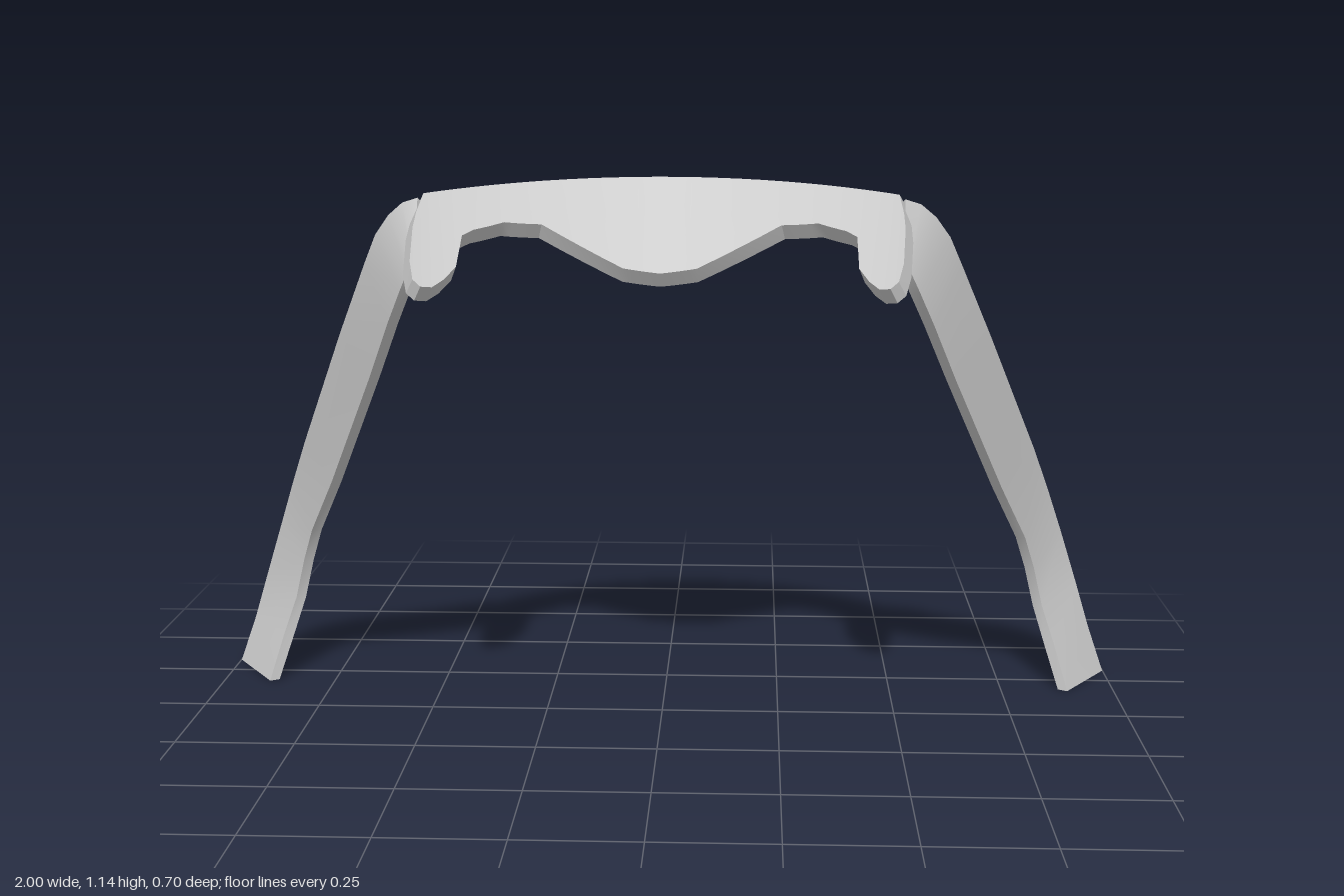
import * as THREE from 'three';
import { toCreasedNormals } from 'three/addons/utils/BufferGeometryUtils.js';

const material = new THREE.MeshStandardMaterial({ color: 0xcccccc });
const V = (x, y, z) => new THREE.Vector3(x, y, z);

// Closed solid through a row of four-cornered sections
function loft(name, rings) {
  const pos = [];
  const tri = (...pts) => pts.forEach((p) => pos.push(p.x, p.y, p.z));
  const quad = (a, b, c, d) => { tri(a, b, c); tri(a, c, d); };
  for (let i = 0; i < rings.length - 1; i++) {
    for (let k = 0; k < 4; k++) {
      const n = (k + 1) % 4;
      quad(rings[i][k], rings[i][n], rings[i + 1][n], rings[i + 1][k]);
    }
  }
  quad(...[...rings[0]].reverse());
  quad(...rings[rings.length - 1]);
  const geo = new THREE.BufferGeometry();
  geo.setAttribute('position', new THREE.Float32BufferAttribute(pos, 3));
  const mesh = new THREE.Mesh(toCreasedNormals(geo, 0.6), material);
  mesh.name = name;
  return mesh;
}

// Mirror sections across x = 0, reversed so faces keep pointing outward
const mirror = (rings) =>
  rings.map((r) => r.map((p) => V(-p.x, p.y, p.z))).reverse();

// Sloping brow plate: back edge on an arc, surface falling toward the front
const R = 0.646, PLATE = 0.036;
const arcZ = (x) => -0.133 + R - Math.sqrt(R * R - x * x);

function platePoints(x, z) {
  const slope = 0.72 - 0.42 * x;
  const top = V(x, 1.14 - 0.085 * x * x - slope * (z - arcZ(x)), z);
  const normal = V((-slope * x) / Math.sqrt(R * R - x * x), 1, slope).normalize();
  return [top, top.clone().addScaledVector(normal, -PLATE)];
}

function browPlate() {
  // back x, back z (null = on the arc), front x, front z
  const columns = [
    [0, null, 0, 0.114], [0.075, null, 0.075, 0.114], [0.246, null, 0.246, 0.046],
    [0.32, null, 0.32, 0.072], [0.375, null, 0.375, 0.125], [0.395, null, 0.395, 0.155],
    [0.42, null, 0.395, 0.25], [0.445, null, 0.412, 0.30], [0.465, null, 0.43, 0.337],
    [0.482, null, 0.45, 0.352], [0.487, 0.15, 0.466, 0.345], [0.487, 0.2, 0.478, 0.30],
  ];
  const half = [];
  columns.forEach((c, i) => {
    const next = columns[i + 1];
    const steps = next && i < 5 ? 4 : 1;
    for (let s = 0; s < steps; s++) {
      const t = s / steps;
      const mix = (k) => (t ? c[k] + (next[k] - c[k]) * t : c[k]);
      const bx = mix(0);
      const [tb, bb] = platePoints(bx, c[1] === null ? arcZ(bx) : c[1]);
      const [tf, bf] = platePoints(mix(2), mix(3));
      half.push([tb, tf, bf, bb]);
    }
  });
  return loft('browPlate', [...mirror(half.slice(1)), ...half]);
}

// Side strap: pairs of back-edge and front-edge points from plate to foot
function strapRings() {
  const pairs = [
    [V(0.488, 1.105, 0.085), V(0.484, 1.0, 0.176)],
    [V(0.52, 1.095, 0.075), V(0.487, 0.985, 0.18)],
    [V(0.55, 1.07, 0.062), V(0.495, 0.965, 0.176)],
    [V(0.58, 1.03, 0.045), V(0.512, 0.93, 0.16)],
    [V(0.608, 0.97, 0.02), V(0.545, 0.86, 0.118)],
    [V(0.682, 0.81, -0.07), V(0.6, 0.735, 0.04)],
    [V(0.802, 0.54, -0.235), V(0.72, 0.475, -0.12)],
    [V(0.842, 0.44, -0.285), V(0.785, 0.345, -0.2)],
    [V(0.882, 0.33, -0.325), V(0.81, 0.27, -0.222)],
    [V(0.925, 0.2, -0.343), V(0.832, 0.18, -0.228)],
    [V(0.955, 0.1, -0.345), V(0.857, 0.1, -0.203)],
    [V(0.99, 0, -0.332), V(0.887, 0, -0.175)],
  ];
  return pairs.map(([back, front], i) => {
    const prev = pairs[Math.max(i - 1, 0)][0];
    const next = pairs[Math.min(i + 1, pairs.length - 1)][0];
    const n = front.clone().sub(back).cross(next.clone().sub(prev)).setLength(0.012);
    if (i === pairs.length - 1) n.y = 0;
    return [back.clone().add(n), front.clone().add(n), front.clone().sub(n), back.clone().sub(n)];
  });
}

export function createModel() {
  const group = new THREE.Group();
  group.name = 'browFrame';
  const strap = strapRings();
  group.add(browPlate(), loft('leftStrap', strap), loft('rightStrap', mirror(strap)));
  return group;
}
